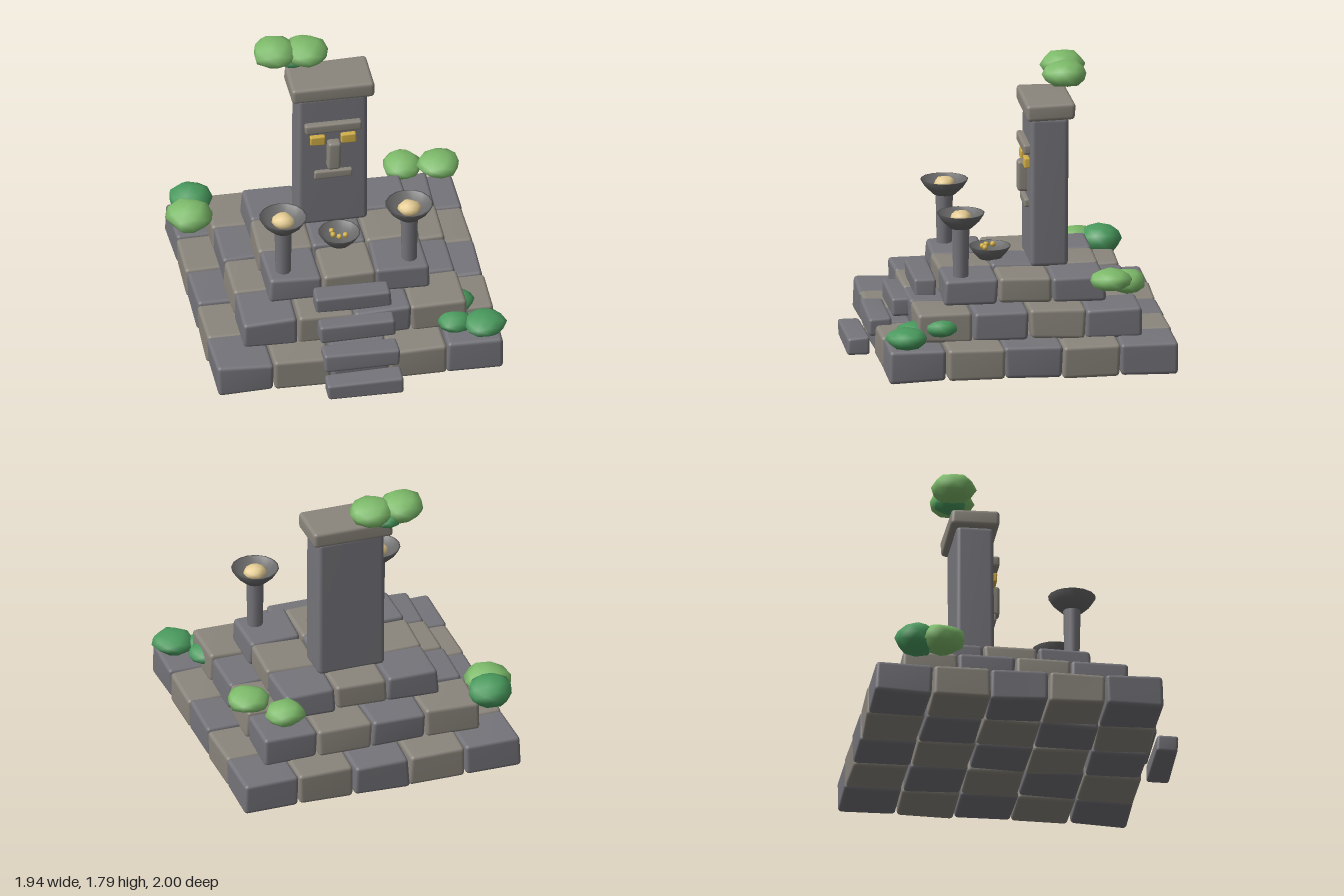
import * as THREE from 'three';
import { RoundedBoxGeometry } from 'three/addons/geometries/RoundedBoxGeometry.js';
import { mergeVertices } from 'three/addons/utils/BufferGeometryUtils.js';

const mat = (color, side = THREE.FrontSide) => {
  const m = new THREE.MeshStandardMaterial({ side });
  m.color.set(color);
  return m;
};

export function createModel() {
  const root = new THREE.Group();
  const darkStone = mat(0x74747a), warmStone = mat(0x8a857c), gold = mat(0xd0ad45);
  const bowlStone = mat(0x686868, THREE.DoubleSide), ember = mat(0xe6cd94);
  const lightLeaf = mat(0x7dba6a), darkLeaf = mat(0x4a9a5e);

  let seed = 7;
  const rand = () => ((seed = (seed * 16807) % 2147483647) / 2147483647) * 2 - 1;

  const add = (parent, name, geometry, material, x = 0, y = 0, z = 0) => {
    const m = new THREE.Mesh(geometry, material);
    m.name = name;
    m.position.set(x, y, z);
    parent.add(m);
    return m;
  };
  const group = (name, x = 0, y = 0, z = 0) => {
    const g = new THREE.Group();
    g.name = name;
    g.position.set(x, y, z);
    root.add(g);
    return g;
  };

  // Worn stone: a soft-edged box whose eight corners are nudged unevenly
  const stone = (parent, name, material, [x0, x1], [y0, y1], [z0, z1], wear = 0.006, radius = 0.02) => {
    const size = [x1 - x0, y1 - y0, z1 - z0];
    let g = new RoundedBoxGeometry(...size, 2, Math.min(radius, Math.min(...size) * 0.25));
    g.deleteAttribute('normal');
    g.deleteAttribute('uv');
    g = mergeVertices(g, 1e-4);
    const corners = Array.from({ length: 8 }, () => new THREE.Vector3(rand(), rand(), rand()).multiplyScalar(wear));
    const p = g.attributes.position, v = new THREE.Vector3();
    for (let i = 0; i < p.count; i++) {
      v.fromBufferAttribute(p, i);
      const t = [v.x / size[0] + 0.5, v.y / size[1] + 0.5, v.z / size[2] + 0.5];
      corners.forEach((c, k) => {
        const w = t.reduce((a, f, axis) => a * ((k >> axis) & 1 ? f : 1 - f), 1);
        v.addScaledVector(c, w);
      });
      p.setXYZ(i, v.x, v.y, v.z);
    }
    g.computeVertexNormals();
    return add(parent, name, g, material, (x0 + x1) / 2, (y0 + y1) / 2, (z0 + z1) / 2);
  };

  // Three stepped tiers of chequered blocks
  const tiers = [
    { n: 5, half: 0.91, y: [0.005, 0.21], odd: 0 },
    { n: 4, half: 0.71, y: [0.205, 0.39], odd: 1 },
    { n: 3, half: 0.51, y: [0.385, 0.55], odd: 0 },
  ];
  tiers.forEach(({ n, half, y, odd }, t) => {
    const tier = group('tier' + (t + 1), 0.01, 0, -0.09);
    const s = (half * 2) / n, gap = 0.003;
    for (let i = 0; i < n; i++) for (let j = 0; j < n; j++) {
      const x = -half + i * s, z = -half + j * s;
      stone(tier, 'block', (i + j + odd) % 2 ? warmStone : darkStone,
        [x + gap, x + s - gap], y, [z + gap, z + s - gap], 0.009, 0.025);
    }
  });

  // Front stairs
  const stairs = group('stairs');
  for (let i = 0; i < 4; i++) {
    const z = 0.858 - i * 0.14, y = 0.01 + i * 0.122;
    stone(stairs, 'step', darkStone, [-0.23, 0.25], [y, y + 0.118], [z, z + 0.14]);
  }

  // Pillar with a carved face
  const idol = group('idol');
  stone(idol, 'pillar', darkStone, [-0.21, 0.23], [0.54, 1.5], [-0.4, -0.16], 0.004, 0.03);
  stone(idol, 'capstone', warmStone, [-0.25, 0.27], [1.49, 1.6], [-0.435, -0.13], 0.005, 0.025);
  stone(idol, 'brow', warmStone, [-0.17, 0.19], [1.255, 1.32], [-0.18, -0.12], 0.003);
  stone(idol, 'nose', warmStone, [-0.03, 0.055], [0.98, 1.18], [-0.18, -0.1], 0.003);
  stone(idol, 'mouth', warmStone, [-0.11, 0.13], [0.9, 0.955], [-0.18, -0.13], 0.003);
  for (const s of [-1, 1]) {
    const x = 0.01 + s * 0.098;
    stone(idol, 'eye', gold, [x - 0.048, x + 0.048], [1.16, 1.225], [-0.18, -0.13], 0.003, 0.01);
  }

  // Lumpy low-sided ball; matching corners always move together
  const lump = (rx, ry, rz, wear, detail = 1) => {
    let g = new THREE.IcosahedronGeometry(1, detail);
    g.deleteAttribute('normal');
    g.deleteAttribute('uv');
    g = mergeVertices(g, 1e-4);
    const p = g.attributes.position;
    for (let i = 0; i < p.count; i++) {
      const k = 1 + rand() * wear;
      p.setXYZ(i, p.getX(i) * rx * k, p.getY(i) * ry * k, p.getZ(i) * rz * k);
    }
    g.computeVertexNormals();
    return g;
  };

  // Bowl profile: outside wall, rim, then the hollow
  const bowl = (base, rim, h) => new THREE.LatheGeometry([
    [0, 0], [base, 0], [rim * 0.8, h * 0.5], [rim, h], [rim * 0.93, h], [rim * 0.65, h * 0.55], [0, h * 0.35],
  ].map(([r, y]) => new THREE.Vector2(r, y)), 16);

  // Pair of braziers
  for (const s of [-1, 1]) {
    const b = group(s > 0 ? 'leftBrazier' : 'rightBrazier', 0.01 + s * 0.4, 0.54, 0.305);
    add(b, 'stem', new THREE.CylinderGeometry(0.055, 0.048, 0.34, 10), darkStone, 0, 0.17, 0);
    add(b, 'bowl', bowl(0.07, 0.15, 0.095), bowlStone, 0, 0.325, 0);
    add(b, 'ember', lump(0.072, 0.045, 0.068, 0.08), ember, 0, 0.39, 0);
  }

  // Offering bowl with gold beads
  const offering = group('offering', 0.01, 0.55, 0.07);
  add(offering, 'bowl', bowl(0.07, 0.132, 0.08), bowlStone);
  for (const [x, z] of [[-0.045, -0.025], [-0.043, 0.018], [-0.008, 0.045], [0.033, 0.034]])
    add(offering, 'bead', new THREE.SphereGeometry(0.018, 10, 8), gold, x, 0.076, z);

  // Foliage clumps: centre, horizontal radius, half height, colour
  const foliage = group('foliage');
  for (const [x, y, z, r, h, m] of [
    [-0.31, 1.7, -0.43, 0.14, 0.09, lightLeaf],
    [-0.115, 1.69, -0.42, 0.14, 0.08, lightLeaf],
    [-0.2, 1.645, -0.44, 0.1, 0.055, darkLeaf],
    [-0.79, 0.425, -0.725, 0.14, 0.095, darkLeaf],
    [-0.825, 0.415, -0.57, 0.145, 0.09, lightLeaf],
    [0.555, 0.52, -0.715, 0.125, 0.075, lightLeaf],
    [0.76, 0.59, -0.595, 0.135, 0.07, lightLeaf],
    [0.82, 0.27, 0.7, 0.13, 0.065, darkLeaf],
    [0.635, 0.265, 0.63, 0.11, 0.06, darkLeaf],
    [0.68, 0.3, 0.465, 0.11, 0.06, darkLeaf],
  ]) add(foliage, 'leafClump', lump(r, h, r, 0.08), m, x, y, z);

  return root;
}
